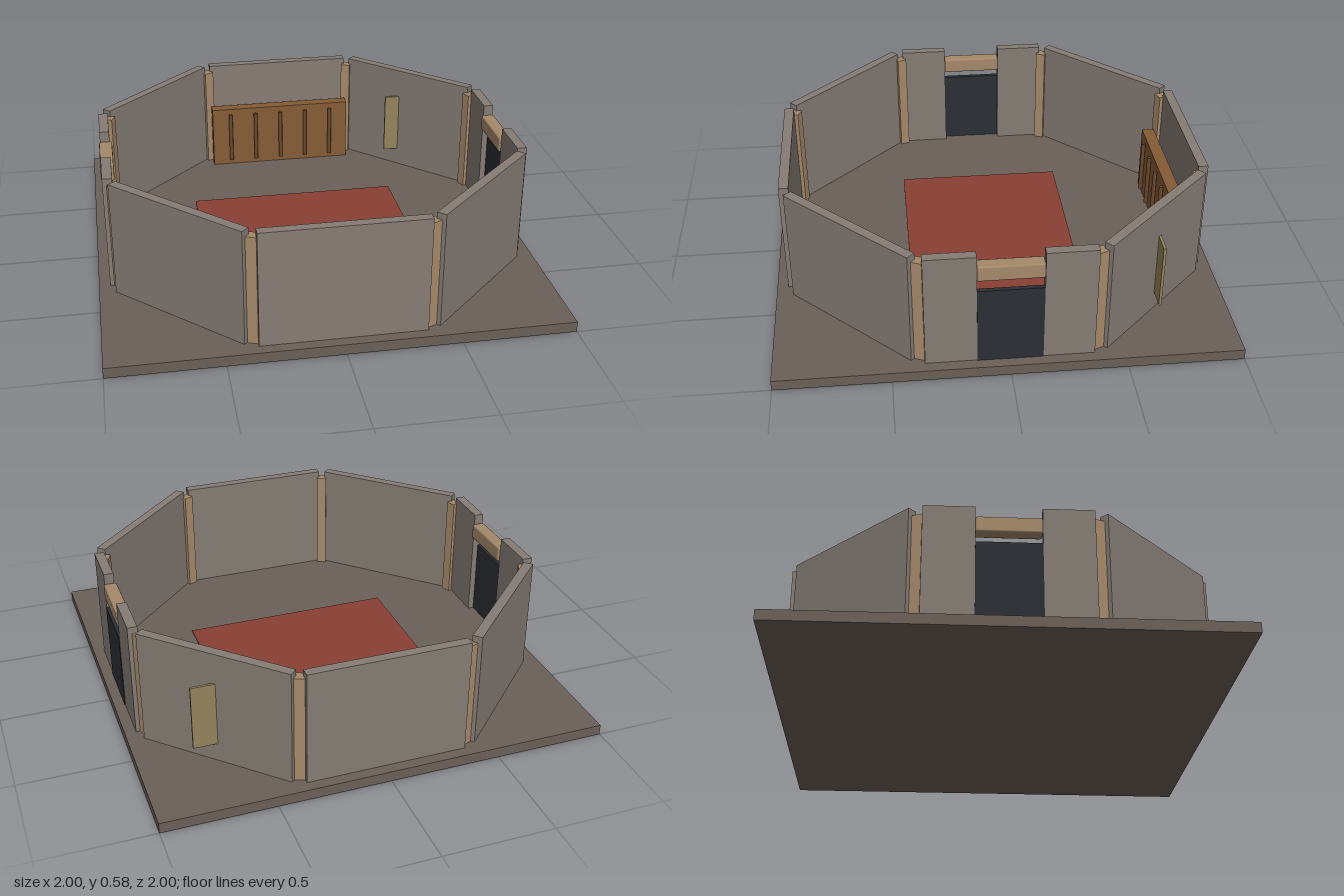
import * as THREE from 'three';
import { RoundedBoxGeometry } from 'three/addons/geometries/RoundedBoxGeometry.js';

const FLOOR = 0.048, WALL_H = 0.53, WALL_T = 0.044, APOTHEM = 0.93;

const mat = (color) => new THREE.MeshStandardMaterial({ color });
const stone = mat(0x857c74), ground = mat(0x6a6058), timber = mat(0xa5896a);
const iron = mat(0x2b2e33), oak = mat(0x855c35), darkOak = mat(0x6b4a2c);
const cloth = mat(0x8a4034), parchment = mat(0x94845c);

function add(parent, name, geometry, material, x, y, z) {
  const mesh = new THREE.Mesh(geometry, material);
  mesh.name = name;
  mesh.position.set(x, y, z);
  parent.add(mesh);
  return mesh;
}

// Box standing with its underside at height y
const box = (parent, name, material, w, h, d, x, y, z) =>
  add(parent, name, new THREE.BoxGeometry(w, h, d), material, x, y + h / 2, z);

export function createModel() {
  const room = new THREE.Group();
  room.name = 'octagonalRoom';

  // Square floor slab and central rug
  box(room, 'floor', ground, 2, FLOOR, 2, 0, 0, 0);
  box(room, 'rug', cloth, 1, 0.006, 0.78, 0, FLOOR, 0);

  // Eight sides, each built facing +z and turned into place
  for (let i = 0; i < 8; i++) {
    const side = new THREE.Group();
    side.name = 'side' + i;
    side.rotation.y = (i * Math.PI) / 4;
    room.add(side);

    if (i === 2 || i === 6) {
      // Doorway: two wall stubs, a door and a lintel
      for (const s of [-1, 1]) {
        box(side, 'doorwayWall', stone, 0.22, WALL_H, WALL_T, s * 0.25, FLOOR, APOTHEM - 0.002);
      }
      box(side, 'door', iron, 0.28, 0.362, 0.02, 0, FLOOR, 0.943);
      add(side, 'lintel', new RoundedBoxGeometry(0.28, 0.072, 0.06, 1, 0.008), timber, 0, 0.495, 0.925);
    } else {
      box(side, 'wall', stone, 0.72, WALL_H, WALL_T, 0, FLOOR, APOTHEM - 0.002);
    }

    // Corner post between this side and the next
    const corner = new THREE.Group();
    corner.name = 'corner' + i;
    corner.rotation.y = Math.PI / 8;
    side.add(corner);
    box(corner, 'cornerPost', timber, 0.046, 0.5, 0.046, 0, FLOOR, 0.976);
  }

  // Wooden rack against the back wall, with upright bars
  const rack = new THREE.Group();
  rack.name = 'rack';
  room.add(rack);
  box(rack, 'rackPanel', oak, 0.72, 0.315, 0.058, 0, FLOOR, -0.844);
  const bar = new THREE.CylinderGeometry(0.01, 0.01, 0.26, 8);
  for (let i = -2; i <= 2; i++) {
    add(rack, 'rackBar', bar, darkOak, i * 0.133, 0.205, -0.805);
  }

  // Thin notice board at the back left
  box(room, 'noticeBoard', parchment, 0.23, 0.3, 0.012, 0.655, 0.135, -0.674);

  return room;
}
